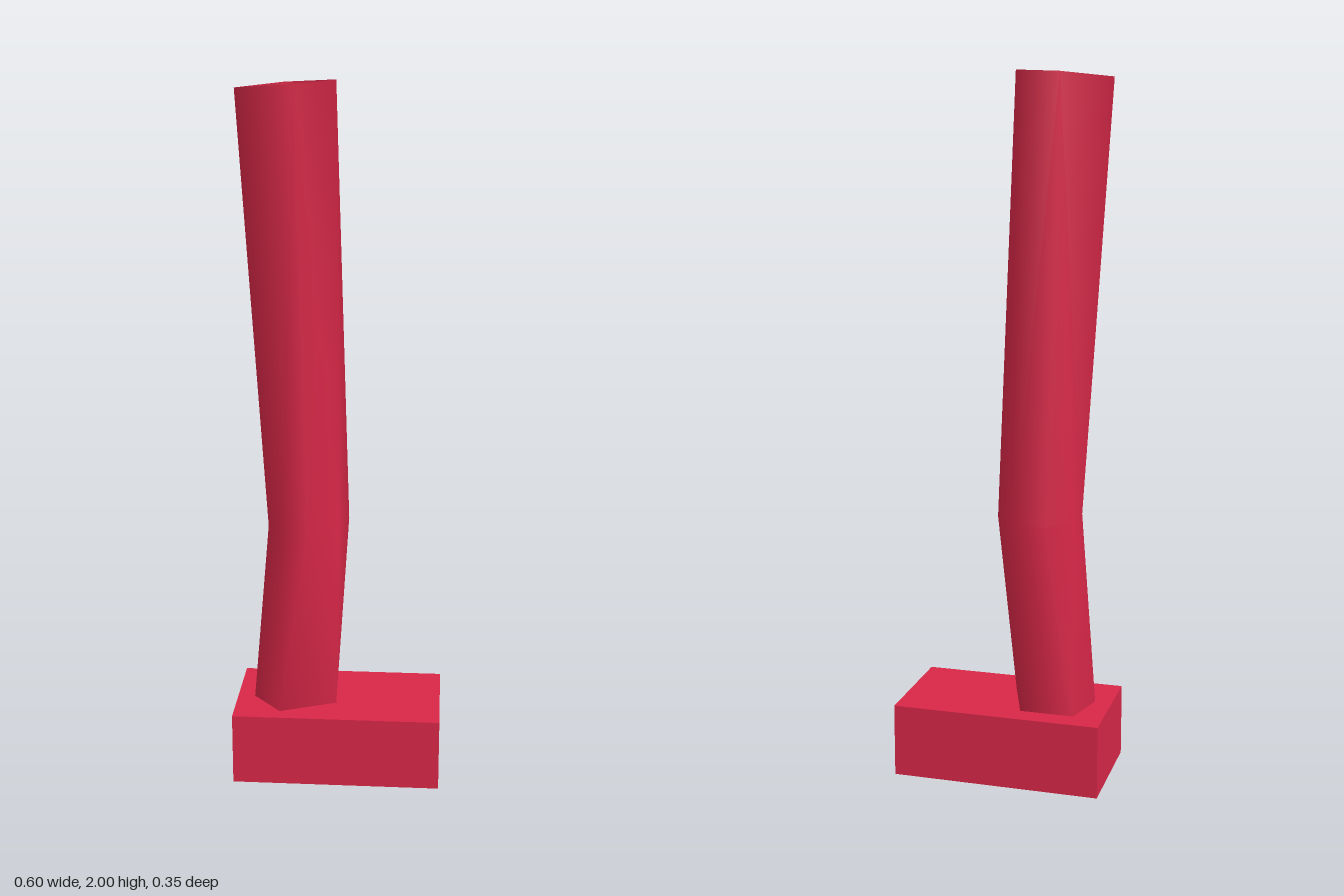
import * as THREE from 'three';
import { mergeVertices } from 'three/addons/utils/BufferGeometryUtils.js';

// Joins rings of [x, y, z] corners into an open tube with smooth normals
function loft(rings) {
  const n = rings[0].length;
  const index = [];
  for (let r = 0; r < rings.length - 1; r++) {
    for (let i = 0; i < n; i++) {
      const j = (i + 1) % n;
      const a = r * n + i, b = r * n + j, c = a + n, d = b + n;
      index.push(a, c, d, a, d, b);
    }
  }
  const geometry = new THREE.BufferGeometry();
  geometry.setAttribute('position', new THREE.Float32BufferAttribute(rings.flat(2), 3));
  geometry.setIndex(index);
  const merged = mergeVertices(geometry);
  // drop the triangles that collapse where corners merge
  const kept = [];
  for (let t = 0; t < merged.index.count; t += 3) {
    const [a, b, c] = [0, 1, 2].map((k) => merged.index.getX(t + k));
    if (a !== b && b !== c && c !== a) kept.push(a, b, c);
  }
  merged.setIndex(kept);
  merged.computeVertexNormals();
  return merged;
}

export function createModel() {
  const model = new THREE.Group();
  model.name = 'bentPostOnBlock';
  const crimson = new THREE.MeshStandardMaterial({ color: 0xd82747, side: THREE.DoubleSide });
  crimson.name = 'crimson';

  // Base block
  const base = new THREE.Mesh(new THREE.BoxGeometry(0.6, 0.21, 0.332), crimson);
  base.name = 'baseBlock';
  base.position.set(0, 0.105, -0.011);
  model.add(base);

  // Post: five-sided foot, eight-sided bend, four-sided open top
  const p = [[-0.06, 0.21, -0.115], [-0.005, 0.21, 0.045], [-0.166, 0.21, 0.112],
    [-0.25, 0.21, 0.015], [-0.215, 0.21, -0.115]];
  const foot = [p[0], p[1], p[1], p[2], p[2], p[3], p[4], p[4]];
  const bend = [[-0.04, -0.127], [0.027, -0.04], [0.005, 0.065], [-0.08, 0.127],
    [-0.155, 0.116], [-0.198, 0.05], [-0.203, -0.07], [-0.135, -0.127]]
    .map(([x, z]) => [x, 0.76, z]);
  const [a, b, c, d] = [[-0.272, 1.98, 0.07], [-0.105, 1.993, 0.175],
    [-0.005, 2, 0.03], [-0.155, 1.99, -0.075]];
  const top = [d, c, c, b, b, a, d, d];

  const post = new THREE.Mesh(loft([foot, bend, top]), crimson);
  post.name = 'bentPost';
  model.add(post);

  return model;
}
